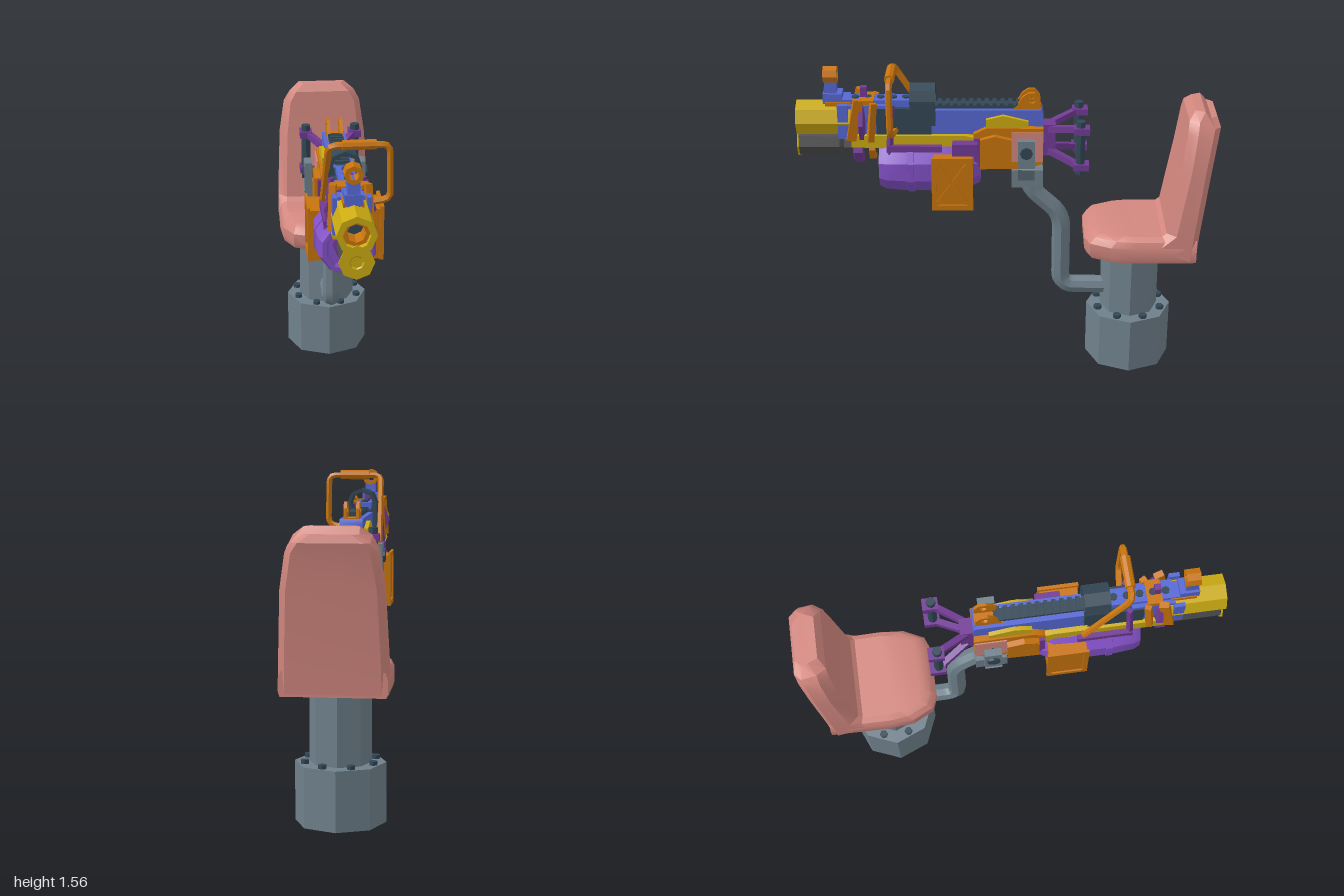
import * as THREE from 'three';
import { toCreasedNormals } from 'three/addons/utils/BufferGeometryUtils.js';

const mat = (name, color) => Object.assign(new THREE.MeshStandardMaterial({ color }), { name });
const steel = mat('steel grey', 0x6f808b), slate = mat('dark slate', 0x334756), charcoal = mat('charcoal', 0x4b4b4b);
const salmon = mat('salmon', 0xd2877f), violet = mat('violet', 0x8451c8), plum = mat('plum', 0x713a94);
const blue = mat('blue', 0x5668d4), yellow = mat('yellow', 0xcbab12), orange = mat('orange', 0xc8740c);
const V = (x, y, z) => new THREE.Vector3(x, y, z);

export function createModel() {
  const model = new THREE.Group();
  model.name = 'mountedGun';

  const add = (name, geo, m, x = 0, y = 0, z = 0) => {
    const mesh = new THREE.Mesh(toCreasedNormals(geo, 0.5), m);
    mesh.name = name;
    mesh.position.set(x, y, z);
    model.add(mesh);
    return mesh;
  };
  const box = (name, m, w, h, d, x, y, z) => add(name, new THREE.BoxGeometry(w, h, d), m, x, y, z);
  // Upright cylinder; spin() turns a profile of [radius, z] round the z axis
  const cyl = (name, m, r0, r1, h, n, x, y, z) => add(name, new THREE.CylinderGeometry(r0, r1, h, n), m, x, y, z);
  const spin = (name, m, pts, n, y, x = 0) =>
    add(name, new THREE.LatheGeometry(pts.map(p => new THREE.Vector2(...p)), n).rotateX(Math.PI / 2), m, x, y, 0);
  // Side outline [z, y] extruded across x, with optional round holes [z, y, r]
  const side = (name, m, pts, w, x = 0, holes = []) => {
    const s = new THREE.Shape(pts.map(p => new THREE.Vector2(...p)));
    for (const [z, y, r] of holes) s.holes.push(new THREE.Path().absarc(z, y, r, 0, Math.PI * 2, true));
    const g = new THREE.ExtrudeGeometry(s, { depth: w, bevelEnabled: false, curveSegments: 4 });
    return add(name, g.translate(0, 0, -w / 2).rotateY(-Math.PI / 2), m, x);
  };
  // Square bar between two points
  const bar = (name, m, a, b, w, h = w) => {
    const mesh = add(name, new THREE.BoxGeometry(w, h, a.distanceTo(b)), m);
    mesh.position.copy(a).lerp(b, 0.5);
    mesh.lookAt(b);
    return mesh;
  };
  // Pipe along straight runs with rounded corners
  const pipe = (name, m, pts, r, bend, n) => {
    const path = new THREE.CurvePath();
    let last = pts[0];
    for (let i = 1; i < pts.length - 1; i++) {
      const p = pts[i];
      const a = p.clone().add(pts[i - 1].clone().sub(p).setLength(bend));
      const b = p.clone().add(pts[i + 1].clone().sub(p).setLength(bend));
      path.add(new THREE.LineCurve3(last, a));
      path.add(new THREE.QuadraticBezierCurve3(a, p, b));
      last = b;
    }
    path.add(new THREE.LineCurve3(last, pts[pts.length - 1]));
    return add(name, new THREE.TubeGeometry(path, 48, r, n, false), m);
  };
  // Solid through stacked half outlines of [x, y, z], front to back, mirrored in x
  const loft = (name, m, halves) => {
    const rings = halves.map(h => [...h, ...h.map(([x, y, z]) => [-x, y, z]).reverse()]);
    const n = rings[0].length, top = rings.length - 1, pos = rings.flat(2), idx = [];
    for (let j = 0; j < top; j++) for (let i = 0; i < n; i++) {
      const a = j * n + i, b = j * n + (i + 1) % n;
      idx.push(a, b, a + n, b, b + n, a + n);
    }
    for (let i = 0; i < n / 2 - 1; i++) {
      const k = n - 1 - i, t = top * n;
      idx.push(i, k, i + 1, i + 1, k, k - 1);
      idx.push(t + i, t + i + 1, t + k, t + i + 1, t + k - 1, t + k);
    }
    const g = new THREE.BufferGeometry();
    g.setAttribute('position', new THREE.Float32BufferAttribute(pos, 3));
    g.setIndex(idx);
    return add(name, g, m);
  };

  // Pedestal with a ring of bolts
  cyl('base', steel, 0.21, 0.21, 0.28, 8, 0, 0.14, -0.61);
  cyl('column', steel, 0.143, 0.143, 0.36, 8, 0, 0.46, -0.61);
  for (let i = 0; i < 8; i++) {
    const a = (i + 0.5) * Math.PI / 4;
    cyl('baseBolt', slate, 0.02, 0.02, 0.03, 6, 0.168 * Math.sin(a), 0.283, -0.61 + 0.168 * Math.cos(a));
  }

  // Seat
  const cushion = [[0.63, 0.97, 0.01], [0.655, 1, 0], [0.71, 1, 0], [0.74, 0.95, 0.025], [0.757, 0.84, 0.06]];
  loft('seatCushion', salmon, cushion.map(([y, s, d]) =>
    [[0.12, -0.375], [0.185, -0.4], [0.235, -0.5], [0.245, -0.62], [0.24, -0.91]]
      .map(([x, z], i) => [x * s, y, i < 3 ? z - d : z])));
  const back = [ // y front, y back, z front, z back, half width front, half width back
    [0.70, 0.64, -0.68, -0.91, 0.21, 0.242], [0.775, 0.775, -0.765, -0.922, 0.2, 0.24],
    [1.1, 1.1, -0.82, -0.962, 0.19, 0.226], [1.28, 1.26, -0.843, -0.987, 0.17, 0.2],
    [1.335, 1.305, -0.85, -0.998, 0.14, 0.17], [1.372, 1.34, -0.88, -0.985, 0.1, 0.12]];
  loft('seatBack', salmon, back.map(([yf, yb, zf, zb, wf, wb]) =>
    [[wf, yf, zf], [wb, yf, zf - 0.045], [wb, yb, zb + 0.03], [wb - 0.03, yb, zb]]));

  // Bent support pipe and pivot fork
  pipe('supportPipe', steel, [V(0, 0.385, -0.52), V(0, 0.385, -0.265), V(0, 0.78, -0.265), V(0, 0.93, -0.1), V(0, 1.02, -0.1)], 0.045, 0.07, 8);
  box('forkBase', steel, 0.2, 0.09, 0.15, 0, 1.015, -0.095);
  for (const s of [-1, 1]) {
    bar('forkElbow', steel, V(s * 0.08, 1.02, -0.09), V(s * 0.133, 1.1, -0.09), 0.08, 0.05);
    box('forkArm', steel, 0.035, 0.15, 0.08, s * 0.13, 1.155, -0.09);
    const pin = cyl('pivotBolt', slate, 0.03, 0.03, 0.06, 8, s * 0.128, 1.17, -0.09);
    pin.rotation.z = Math.PI / 2;
  }

  // Rear body
  side('rearBody', orange, [[-0.17, 1.09], [-0.1, 1.06], [0.13, 1.06], [0.16, 1.1], [0.16, 1.24], [0.1, 1.27], [-0.17, 1.27]], 0.17);
  for (const s of [-1, 1]) {
    side('bodyCheek', orange, [[-0.02, 1.08], [0.13, 1.07], [0.13, 1.22], [0.06, 1.24], [-0.02, 1.22]], 0.03, s * 0.098);
    side('bodyPlate', salmon, [[-0.17, 1.1], [-0.02, 1.1], [-0.02, 1.25], [-0.17, 1.25]], 0.008, s * 0.087);
    side('receiverPanel', yellow, [[-0.1, 1.26], [0.1, 1.26], [0.1, 1.31], [0.02, 1.33], [-0.1, 1.3]], 0.03, s * 0.06);
    side('sideRail', yellow, [[0.12, 1.15], [0.74, 1.17], [0.74, 1.23], [0.2, 1.23], [0.12, 1.21]], 0.03, s * 0.065);
  }

  // Receiver, foregrip and top rail
  side('receiver', blue, [[-0.17, 1.27], [-0.1, 1.23], [0.37, 1.23], [0.37, 1.35], [-0.16, 1.35], [-0.17, 1.33]], 0.11);
  side('foregrip', slate, [[0.36, 1.16], [0.62, 1.16], [0.62, 1.36], [0.36, 1.36]], 0.13);
  box('frontHousing', blue, 0.12, 0.17, 0.2, 0, 1.29, 0.66);
  box('frontRail', blue, 0.08, 0.04, 0.42, 0, 1.375, 0.64);
  box('rearRail', slate, 0.06, 0.02, 0.42, 0, 1.355, 0.14);
  for (let i = 0; i < 11; i++) box('rearRailTooth', slate, 0.07, 0.014, 0.02, 0, 1.37, -0.05 + i * 0.037);
  for (let i = 0; i < 5; i++) cyl('frontRailStud', slate, 0.018, 0.018, 0.01, 8, 0, 1.397, 0.48 + i * 0.06);

  // Barrels
  spin('mainBarrel', yellow, [[0.06, 0.7], [0.088, 0.73], [0.088, 1], [0.06, 1], [0.06, 0.85]], 8, 1.293);
  spin('muzzleRing', orange, [[0.061, 0.97], [0.042, 0.97], [0.042, 0.86]], 8, 1.293);
  spin('boreFloor', slate, [[0.06, 0.88], [0, 0.88]], 8, 1.293);
  spin('lowerBarrel', charcoal, [[0, 0.78], [0.055, 0.78], [0.068, 0.8], [0.068, 0.993], [0, 0.993]], 8, 1.165);
  spin('lowerBarrelCap', yellow, [[0.068, 0.993], [0.078, 0.993], [0.078, 1], [0.032, 1], [0.026, 0.994], [0, 0.994]], 8, 1.172);
  spin('lowerTube', charcoal, [[0.046, 0.55], [0.046, 0.79]], 8, 1.155);

  // Barrel collars and slanted braces
  spin('upperCollar', plum, [[0.06, 0.67], [0.115, 0.68], [0.115, 0.7], [0.06, 0.71]], 8, 1.29);
  spin('lowerCollar', plum, [[0.04, 0.685], [0.08, 0.69], [0.08, 0.73], [0.04, 0.74]], 8, 1.14);
  box('collarFin', plum, 0.03, 0.08, 0.03, 0, 1.41, 0.68);
  spin('collarBand', orange, [[0.04, 0.63], [0.072, 0.63], [0.072, 0.66], [0.04, 0.66]], 8, 1.15);
  for (const s of [-1, 1]) {
    bar('longBrace', orange, V(s * 0.085, 1.21, 0.74), V(s * 0.075, 1.41, 0.7), 0.03, 0.045);
    bar('shortBrace', orange, V(s * 0.08, 1.2, 0.65), V(s * 0.07, 1.39, 0.63), 0.025, 0.03);
    bar('purpleBrace', plum, V(s * 0.09, 1.14, 0.56), V(s * 0.07, 1.38, 0.545), 0.02, 0.025);
    box('barrelStrap', blue, 0.02, 0.17, 0.05, s * 0.075, 1.3, 0.775);
  }
  box('topBrace', orange, 0.12, 0.02, 0.07, 0, 1.39, 0.665);
  box('barrelTopPlate', orange, 0.09, 0.02, 0.12, 0, 1.375, 0.8);

  // Front sight
  side('frontSightPost', blue, [[0.79, 1.36], [0.87, 1.36], [0.86, 1.49], [0.805, 1.49], [0.805, 1.42]], 0.055);
  box('frontSightBase', blue, 0.08, 0.05, 0.09, 0, 1.4, 0.825);
  spin('frontSightRing', orange, [[0.022, 0.8], [0.042, 0.8], [0.042, 0.865], [0.022, 0.865], [0.022, 0.8]], 8, 1.51);

  // Hooded sight and rear sight
  spin('sightHood', slate, [[0.058, 0.34], [0.076, 0.34], [0.076, 0.46], [0.058, 0.46], [0.058, 0.34]], 8, 1.394);
  for (const s of [-1, 1]) {
    box('hoodFoot', slate, 0.02, 0.12, 0.12, s * 0.065, 1.34, 0.4);
    side('rearSight', orange, [[-0.16, 1.34], [-0.03, 1.34], [-0.07, 1.41], [-0.1, 1.43], [-0.13, 1.43], [-0.155, 1.4]],
      0.016, s * 0.03, [[-0.115, 1.395, 0.018]]);
  }
  box('rearSightBase', orange, 0.076, 0.02, 0.13, 0, 1.345, -0.095);

  // Carry handle
  pipe('carryHandle', orange, [V(-0.09, 1.2, 0.34), V(-0.08, 1.53, 0.545), V(0.19, 1.53, 0.545),
    V(0.195, 1.275, 0.545), V(0.06, 1.25, 0.53)], 0.016, 0.035, 6);
  const grip = cyl('handleGrip', orange, 0.024, 0.024, 0.15, 8, 0.055, 1.532, 0.545);
  grip.rotation.z = Math.PI / 2;

  // Drum
  spin('drum', violet, [[0, 0.13], [0.1, 0.13], [0.115, 0.16], [0.135, 0.2], [0.143, 0.38], [0.143, 0.48], [0.135, 0.58],
    [0.12, 0.612], [0.1, 0.612], [0.09, 0.59], [0, 0.59]], 10, 1.062);
  spin('drumBand', violet, [[0.13, 0.44], [0.149, 0.445], [0.149, 0.475], [0.13, 0.48]], 10, 1.062);
  spin('drumHub', plum, [[0.045, 0.59], [0.04, 0.608], [0, 0.608]], 6, 1.062);
  box('drumMount', plum, 0.2, 0.14, 0.035, 0, 1.15, 0.14);
  box('drumClamp', plum, 0.21, 0.03, 0.26, 0, 1.17, 0.44);
  box('sideLatch', plum, 0.05, 0.06, 0.12, 0.115, 1.18, 0.2);

  // Ammunition box with framed, cross-braced sides
  box('ammoBox', orange, 0.335, 0.25, 0.18, 0.012, 1.02, 0.26);
  for (const [x, w] of [[0.183, 0.018], [-0.157, 0.012]]) {
    for (const y of [0.905, 1.148]) box('boxFrameRail', orange, w, 0.026, 0.196, x, y, 0.26);
    for (const z of [0.174, 0.346]) box('boxFramePost', orange, w, 0.26, 0.024, x, 1.027, z);
  }
  for (const s of [-1, 1]) bar('boxCrossBar', orange, V(0.182, 0.91, 0.26 - s * 0.08), V(0.182, 1.14, 0.26 + s * 0.08), 0.012, 0.018);

  // Twin rear grips
  box('gripStem', plum, 0.08, 0.16, 0.08, 0, 1.19, -0.19);
  for (const s of [-1, 1]) {
    for (const [y0, y1] of [[1.245, 1.28], [1.135, 1.095]]) {
      bar('gripArm', plum, V(s * 0.03, y0, -0.2), V(s * 0.11, y1, -0.33), 0.03);
      box('gripBracket', plum, 0.06, 0.032, 0.075, s * 0.122, y1, -0.35);
    }
    cyl('grip', slate, 0.022, 0.022, 0.27, 8, s * 0.122, 1.19, -0.345);
  }
  return model;
}
